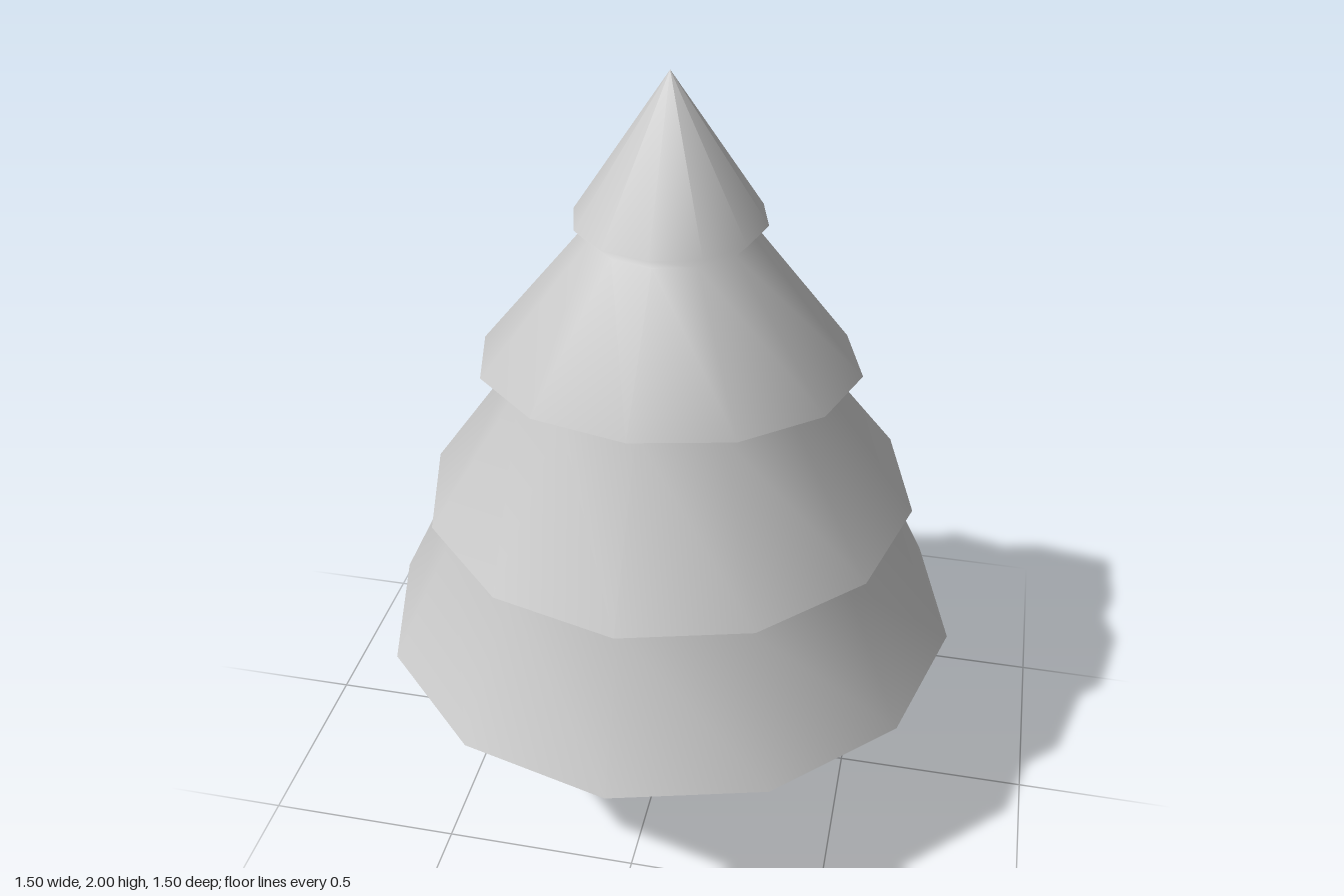
import * as THREE from 'three';

const material = new THREE.MeshStandardMaterial({ color: 0xcccccc });
const flatMaterial = new THREE.MeshStandardMaterial({ color: 0xcccccc, flatShading: true });

// Rings of [radius, height, tilt]; tilt raises the ring towards +z.
function tiltedLathe(name, rings, sides, mat) {
  const geometry = new THREE.LatheGeometry(rings.map(([r, y]) => new THREE.Vector2(r, y)), sides);
  const pos = geometry.attributes.position;
  for (let i = 0; i < pos.count; i++) {
    const tilt = rings[i % rings.length][2] || 0;
    pos.setY(i, pos.getY(i) + tilt * pos.getZ(i));
  }
  const mesh = new THREE.Mesh(geometry, mat);
  mesh.name = name;
  return mesh;
}

export function createModel() {
  const tree = new THREE.Group();
  tree.name = 'tree';

  // Four tiers of branches as one hollow, smooth shell
  const outer = [
    [0.75, 0.5], [0.575, 0.857, -0.006],
    [0.625, 0.893, -0.012], [0.382, 1.235, 0.1],
    [0.475, 1.27, 0.106], [0.2, 1.61],
    [0.233, 1.645], [0, 2],
  ];
  const inner = [
    [0, 1.94], [0.19, 1.645], [0.157, 1.61],
    [0.43, 1.275, 0.106], [0.337, 1.235, 0.1],
    [0.58, 0.89, -0.012], [0.532, 0.85, -0.006], [0.71, 0.475],
  ];
  tree.add(tiltedLathe('foliage', outer, 12, material));
  tree.add(tiltedLathe('foliageInside', inner, 12, material));
  tree.add(tiltedLathe('foliageRim', [[0.71, 0.475], [0.75, 0.5]], 12, flatMaterial));

  // Slender eight-sided trunk, flared at the foot and set slightly forward
  const trunk = tiltedLathe('trunk',
    [[0, 0], [0.098, 0], [0.065, 0.33], [0.055, 0.5], [0.04, 1.3], [0, 1.3]], 8, flatMaterial);
  trunk.position.z = 0.04;
  tree.add(trunk);

  return tree;
}
